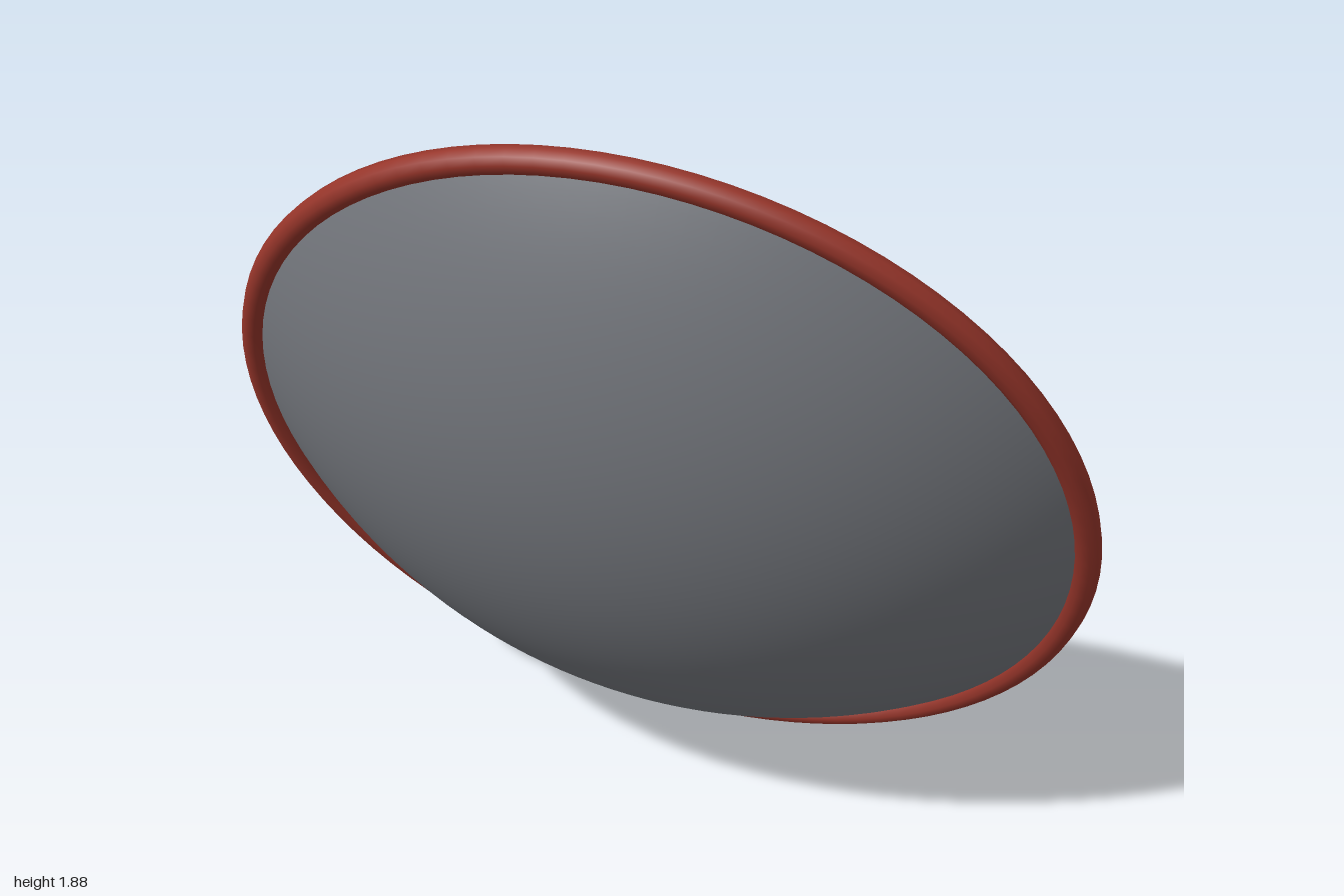
import * as THREE from 'three';

const material = (name, color) => {
  const m = new THREE.MeshStandardMaterial({ color });
  m.name = name;
  return m;
};

export function createModel() {
  const mirrorGrey = material('mirror grey', 0x74777d);
  const steelGrey = material('steel grey', 0x646873);
  const rimRed = material('rim red', 0x96352a);

  const model = new THREE.Group();
  model.name = 'convexMirror';

  const add = (parent, name, geometry, mat, x = 0, y = 0, z = 0) => {
    const mesh = new THREE.Mesh(geometry, mat);
    mesh.name = name;
    mesh.position.set(x, y, z);
    parent.add(mesh);
    return mesh;
  };

  // Mirror head, leaning forward at the top
  const head = new THREE.Group();
  head.name = 'mirrorHead';
  head.position.set(0, 0.947, 0.016);
  head.rotation.x = THREE.MathUtils.degToRad(20);
  model.add(head);

  // Shallow spherical cap whose edge lies inside the rim
  const sphereRadius = 1.417, edgeRadius = 0.963;
  const capAngle = Math.asin(edgeRadius / sphereRadius);
  const dome = new THREE.SphereGeometry(sphereRadius, 96, 24, 0, Math.PI * 2, 0, capAngle);
  dome.rotateX(Math.PI / 2);
  dome.translate(0, 0, -sphereRadius * Math.cos(capAngle));
  add(head, 'mirrorDome', dome, mirrorGrey);

  // Flat backing disc
  const back = new THREE.CylinderGeometry(edgeRadius, edgeRadius, 0.018, 96);
  back.rotateX(Math.PI / 2);
  add(head, 'backPanel', back, steelGrey, 0, 0, -0.009);

  // Red tubular rim
  add(head, 'rim', new THREE.TorusGeometry(0.97, 0.03, 10, 96), rimRed);

  // Wall bracket: arm, mounting plate and triangular brace
  const bracket = new THREE.Group();
  bracket.name = 'wallBracket';
  model.add(bracket);
  add(bracket, 'arm', new THREE.BoxGeometry(0.1, 0.097, 0.45), steelGrey, 0, 0.937, -0.2);
  add(bracket, 'wallPlate', new THREE.BoxGeometry(0.328, 0.525, 0.037), steelGrey, 0, 0.9375, -0.4315);

  const braceShape = new THREE.Shape([
    new THREE.Vector2(0.02, 0.9),
    new THREE.Vector2(0.42, 0.9),
    new THREE.Vector2(0.42, 0.718),
  ]);
  const thickness = 0.036;
  const brace = new THREE.ExtrudeGeometry(braceShape, { depth: thickness, bevelEnabled: false });
  brace.translate(0, 0, -thickness / 2);
  brace.rotateY(Math.PI / 2);
  add(bracket, 'brace', brace, steelGrey);

  return model;
}
